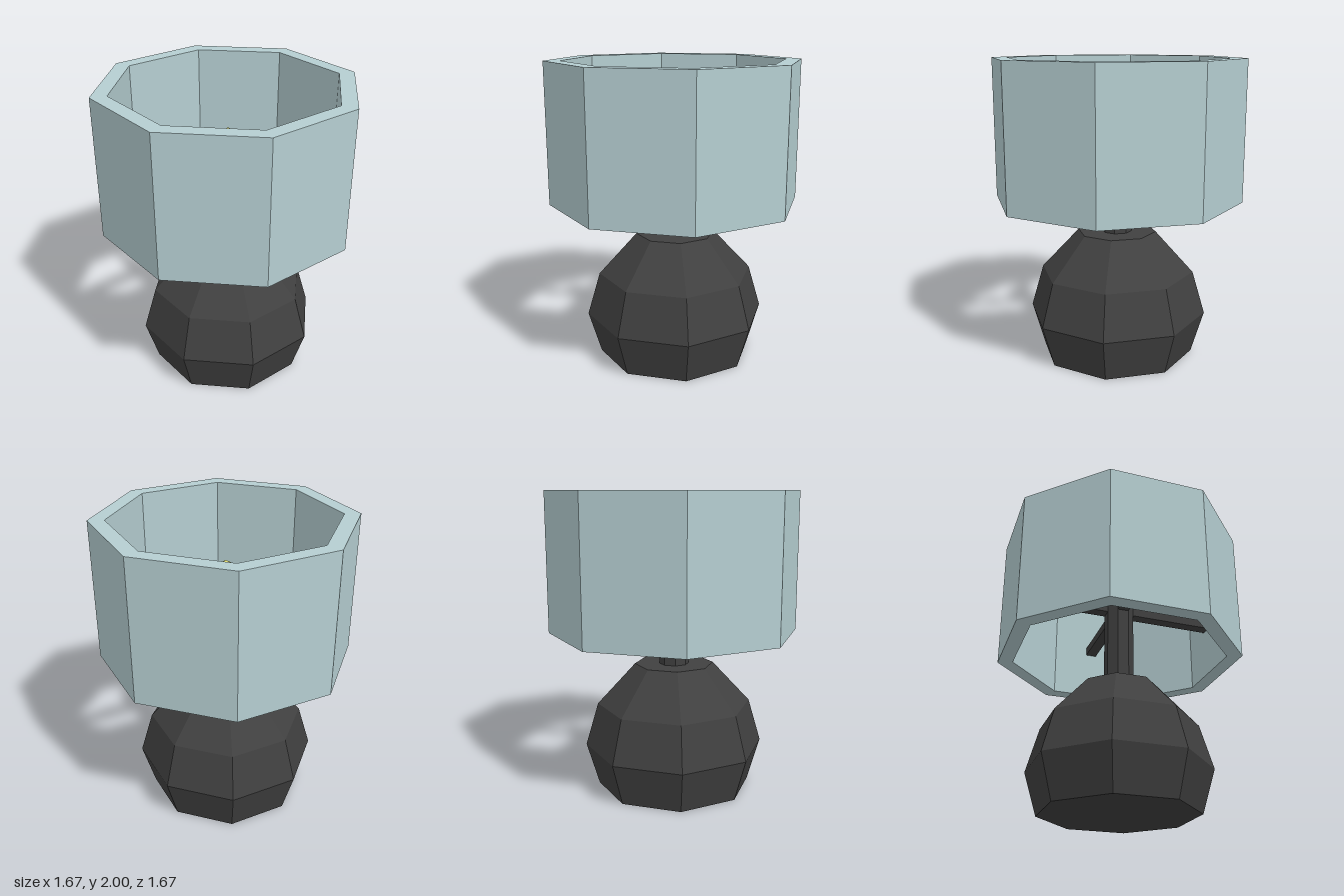
import * as THREE from 'three';

const SIDES = 8;

function material(name, color) {
  const m = new THREE.MeshStandardMaterial({ color, flatShading: true });
  m.name = name;
  return m;
}

// Eight-sided turned part from [radius, height] pairs
function turned(name, profile, mat) {
  const points = profile.map(([r, y]) => new THREE.Vector2(r, y));
  const mesh = new THREE.Mesh(new THREE.LatheGeometry(points, SIDES), mat);
  mesh.name = name;
  return mesh;
}

export function createModel() {
  const charcoal = material('charcoal', 0x404040);
  const paleBlue = material('pale blue', 0xb5ced1);
  const yellow = material('bulb yellow', 0xdcd870);

  const lamp = new THREE.Group();
  lamp.name = 'tableLamp';

  // Rounded base with flat bottom and top
  lamp.add(turned('base', [[0, 0], [0.52, 0], [0.605, 0.285], [0.52, 0.575], [0.265, 0.85], [0, 0.85]], charcoal));

  // Stem carrying the arms and the bulb
  lamp.add(turned('stem', [[0, 0.84], [0.1, 0.84], [0.1, 1.47], [0, 1.47]], charcoal));

  // Thick open shade, profile closed as a ring
  lamp.add(turned('shade', [[0.835, 1.07], [0.835, 2], [0.73, 2], [0.73, 1.07], [0.835, 1.07]], paleBlue));

  // Four arms reaching the middle of the shade's inner faces
  const arms = new THREE.Group();
  arms.name = 'shadeArms';
  const armGeometry = new THREE.BoxGeometry(0.67, 0.06, 0.075).translate(0.335, 1.435, 0);
  for (let i = 0; i < 4; i++) {
    const arm = new THREE.Mesh(armGeometry, charcoal);
    arm.name = 'shadeArm';
    arm.rotation.y = Math.PI / 8 + i * Math.PI / 2;
    arms.add(arm);
  }
  lamp.add(arms);

  // Faceted bulb standing on the stem
  const bulb = new THREE.Mesh(new THREE.SphereGeometry(0.09, SIDES, 4), yellow);
  bulb.name = 'bulb';
  bulb.scale.y = 1.45;
  bulb.position.y = 1.59;
  lamp.add(bulb);

  return lamp;
}
